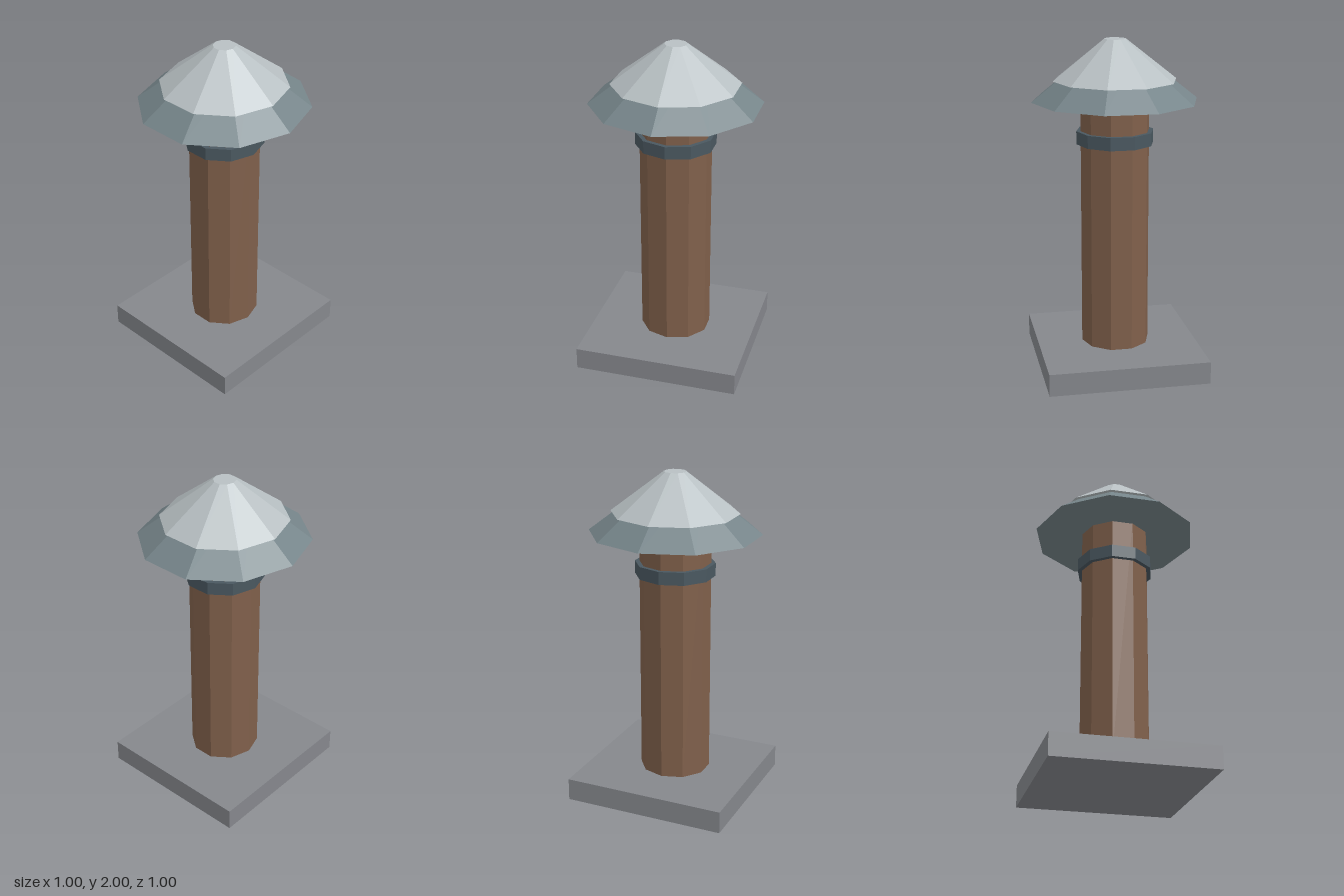
import * as THREE from 'three';

const SIDES = 10;
const DEPTH = 0.965; // the whole post is slightly shallower than wide

export function createModel() {
  const group = new THREE.Group();

  function add(name, geometry, color, y) {
    const material = new THREE.MeshStandardMaterial({ color, flatShading: true });
    const mesh = new THREE.Mesh(geometry, material);
    mesh.name = name;
    mesh.position.y = y;
    mesh.scale.z = DEPTH;
    group.add(mesh);
  }

  // Ten-sided frustum between two heights
  function frustum(name, color, y0, y1, rBottom, rTop) {
    const geometry = new THREE.CylinderGeometry(rTop, rBottom, y1 - y0, SIDES);
    add(name, geometry, color, (y0 + y1) / 2);
  }

  // Square footing
  add('base', new THREE.BoxGeometry(1, 0.136, 1), 0x85878c, 0.068);

  // Post and its collar
  frustum('post', 0x80604b, 0.13, 1.66, 0.215, 0.215);
  frustum('collar', 0x4a5860, 1.38, 1.458, 0.242, 0.242);

  // Two stacked hoods, the upper one overhanging the lower
  frustum('lowerHood', 0x76858a, 1.638, 1.88, 0.517, 0.2);
  frustum('upperHood', 0xb8c0c3, 1.758, 2.0, 0.384, 0.067);

  return group;
}
